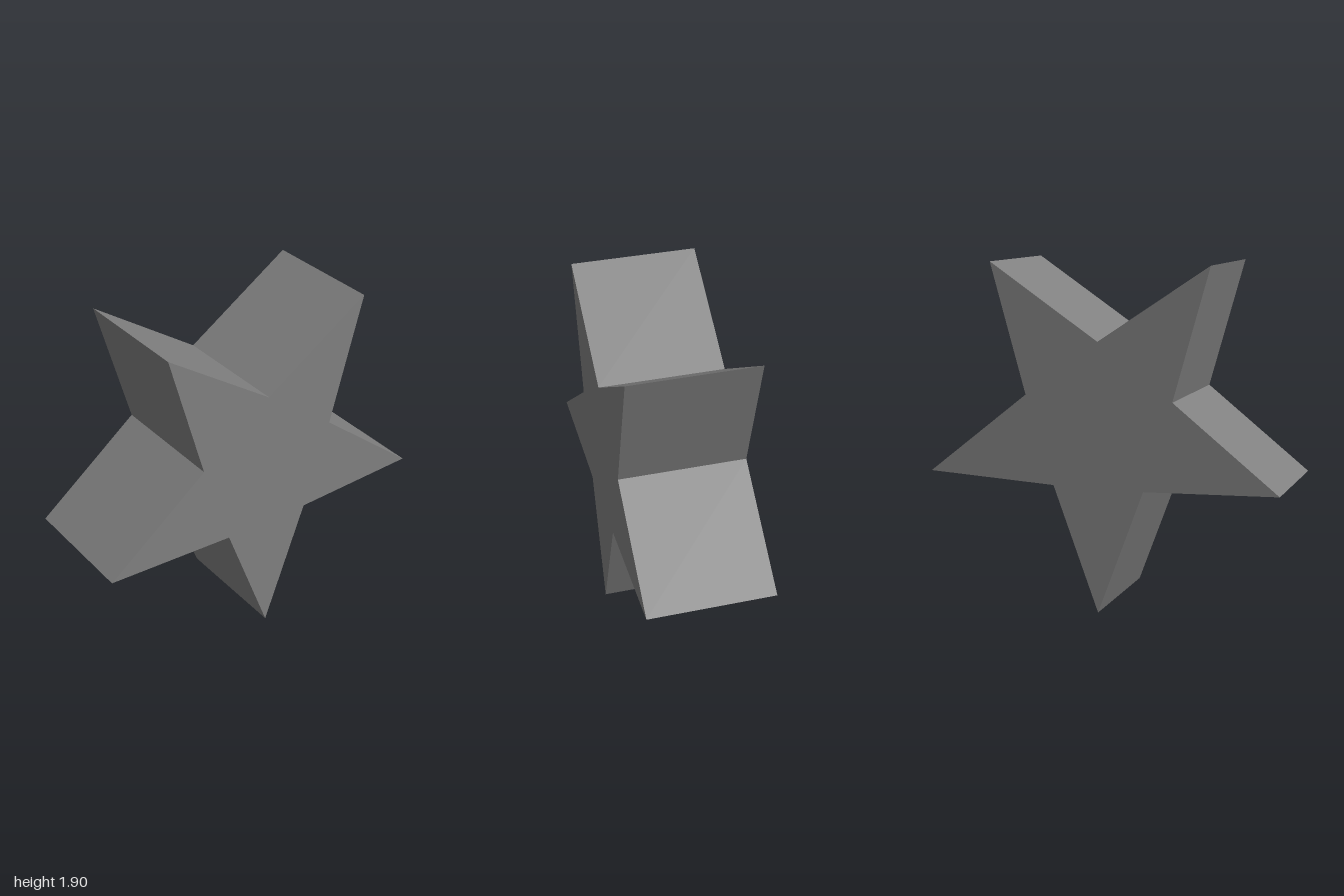
import * as THREE from 'three';

export function createModel() {
  const group = new THREE.Group();
  const grey = new THREE.MeshStandardMaterial({ color: 0x808080 });
  grey.name = 'grey';

  // Five-pointed outline standing on one tip
  const outer = 1 / Math.sin(Math.PI * 0.4);
  const inner = 0.439;
  const depth = 0.7;
  const outline = [];
  for (let i = 0; i < 10; i++) {
    const radius = i % 2 ? inner : outer;
    const angle = -Math.PI / 2 + (i * Math.PI) / 5;
    outline.push(new THREE.Vector2(radius * Math.cos(angle), outer + radius * Math.sin(angle)));
  }

  // Straight prism centred on z = 0
  const geometry = new THREE.ExtrudeGeometry(new THREE.Shape(outline), { depth, bevelEnabled: false });
  geometry.translate(0, 0, -depth / 2);
  const star = new THREE.Mesh(geometry, grey);
  star.name = 'star';
  group.add(star);
  return group;
}
